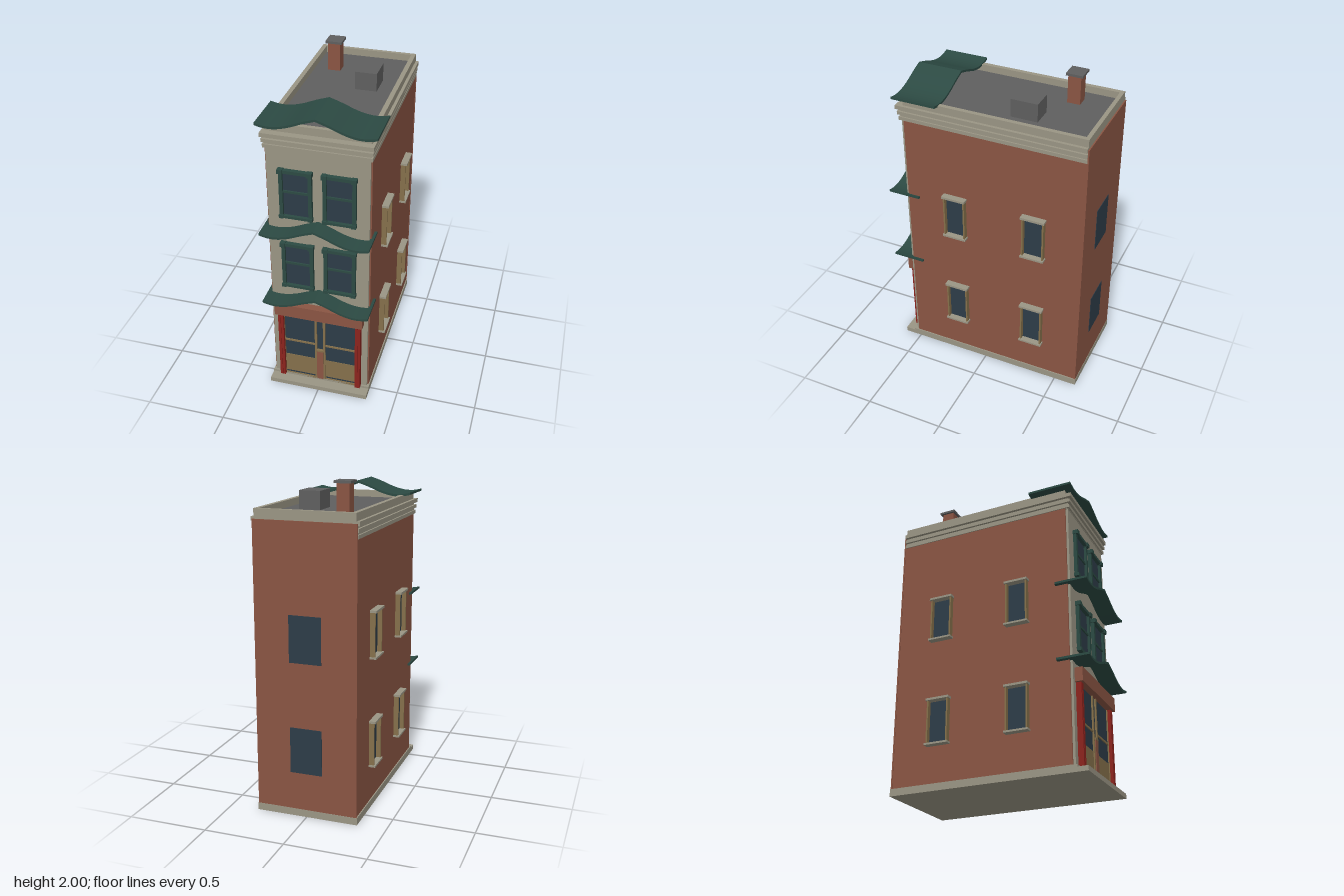
import * as THREE from 'three';

const mat = (name, color) => {
  const m = new THREE.MeshStandardMaterial({ color });
  m.name = name;
  return m;
};

export function createModel() {
  const brick = mat('brick', 0x8a5543);
  const stone = mat('stone', 0x9a9584);
  const grey = mat('roofGrey', 0x5f5f5f);
  const glass = mat('glass', 0x2d3c48);
  const green = mat('darkGreen', 0x2c4a43);
  const wood = mat('wood', 0x85704b);
  const red = mat('red', 0x8c231d);

  const model = new THREE.Group();
  model.name = 'townhouse';

  // Box given by its limits on each axis
  const box = (name, m, x0, x1, y0, y1, z0, z1, parent = model) => {
    const mesh = new THREE.Mesh(new THREE.BoxGeometry(x1 - x0, y1 - y0, z1 - z0), m);
    mesh.position.set((x0 + x1) / 2, (y0 + y1) / 2, (z0 + z1) / 2);
    mesh.name = name;
    parent.add(mesh);
    return mesh;
  };
  const group = (name) => {
    const g = new THREE.Group();
    g.name = name;
    model.add(g);
    return g;
  };

  // Base, walls and facade
  box('frontStep', stone, -0.32, 0.32, 0, 0.03, 0.53, 0.61);
  box('base', stone, -0.32, 0.32, 0, 0.045, -0.645, 0.545);
  box('walls', brick, -0.313, 0.313, 0.045, 1.715, -0.636, 0.517);
  box('backWall', brick, -0.316, 0.316, 0.045, 1.79, -0.643, -0.634);
  box('facade', stone, -0.305, 0.305, 0.045, 1.72, 0.51, 0.532);

  // Stepped cornice
  box('corniceCore', stone, -0.309, 0.309, 1.7, 1.8, -0.635, 0.535);
  [[1.705, 1.727, 0.318, 0.545], [1.742, 1.763, 0.322, 0.552], [1.778, 1.803, 0.327, 0.561]]
    .forEach(([y0, y1, x, z]) => box('corniceBand', stone, -x, x, y0, y1, -0.635, z));

  // Roof and parapet
  box('roof', grey, -0.285, 0.285, 1.795, 1.807, -0.615, 0.495);
  const parapet = group('parapet');
  for (const s of [-1, 1]) {
    const [a, b] = s < 0 ? [-0.308, -0.28] : [0.28, 0.308];
    box('parapetSide', stone, a, b, 1.8, 1.85, -0.635, 0.517, parapet);
  }
  box('parapetBack', stone, -0.28, 0.28, 1.8, 1.85, -0.635, -0.61, parapet);
  box('parapetFront', stone, -0.28, 0.28, 1.8, 1.85, 0.49, 0.517, parapet);

  // Chimney and roof hatch
  box('chimney', brick, -0.193, -0.115, 1.8, 1.985, -0.425, -0.345);
  box('chimneyCap', grey, -0.206, -0.102, 1.985, 2, -0.439, -0.334);
  box('roofHatch', grey, 0.042, 0.176, 1.8, 1.92, -0.28, -0.113);

  // Curved awnings: ridge in the middle, upturned ends
  const awning = (name, halfWidth, y, z0, z1) => {
    const k = halfWidth / 0.33;
    const half = new THREE.SplineCurve([
      [0, 0.081], [0.07, 0.056], [0.15, 0.022], [0.22, 0.004], [0.28, 0.003], [0.33, 0.014],
    ].map(([px, py]) => new THREE.Vector2(px * k, py))).getPoints(14);
    const top = [...half.slice(1).reverse().map((p) => new THREE.Vector2(-p.x, p.y)), ...half];
    const under = top.map((p) => new THREE.Vector2(p.x, p.y - 0.014)).reverse();
    const geo = new THREE.ExtrudeGeometry(new THREE.Shape([...top, ...under]), {
      depth: z1 - z0, bevelEnabled: false,
    });
    const mesh = new THREE.Mesh(geo, green);
    mesh.position.set(0, y, z0);
    mesh.name = name;
    model.add(mesh);
  };
  awning('lowerAwning', 0.33, 0.677, 0.44, 0.645);
  awning('upperAwning', 0.33, 1.174, 0.44, 0.645);
  awning('roofAwning', 0.35, 1.852, 0.285, 0.57);

  // Front sash windows
  for (const y of [0.76, 1.26]) {
    for (const c of [-0.13, 0.13]) {
      const g = group('frontWindow');
      box('pane', glass, c - 0.085, c + 0.085, y + 0.01, y + 0.31, 0.53, 0.537, g);
      for (const s of [-1, 1]) {
        const x = c + s * 0.087;
        box('stile', green, x - 0.011, x + 0.011, y + 0.01, y + 0.32, 0.53, 0.553, g);
        box('sillEnd', green, x - 0.014, x + 0.014, y, y + 0.022, 0.53, 0.562, g);
        box('headEnd', green, x - 0.016, x + 0.016, y + 0.298, y + 0.325, 0.53, 0.566, g);
      }
      box('sill', green, c - 0.095, c + 0.095, y + 0.002, y + 0.018, 0.53, 0.558, g);
      box('head', green, c - 0.095, c + 0.095, y + 0.302, y + 0.322, 0.53, 0.56, g);
      box('meetingRail', green, c - 0.08, c + 0.08, y + 0.168, y + 0.182, 0.53, 0.546, g);
    }
  }

  // Side windows with deep wooden surrounds and stone sills
  for (const s of [-1, 1]) {
    const side = (name, m, depth, y0, y1, z0, z1, g) =>
      box(name, m, s < 0 ? -depth : 0.3, s < 0 ? -0.3 : depth, y0, y1, z0, z1, g);
    for (const y of [0.275, 0.96]) {
      for (const z of [0.19, -0.33]) {
        const g = group('sideWindow');
        side('pane', glass, 0.317, y + 0.01, y + 0.28, z - 0.064, z + 0.064, g);
        for (const e of [-1, 1]) {
          const j = z + e * 0.066;
          side('jamb', wood, 0.345, y + 0.01, y + 0.285, j - 0.005, j + 0.005, g);
        }
        side('sill', stone, 0.355, y, y + 0.012, z - 0.077, z + 0.077, g);
        side('lintel', stone, 0.355, y + 0.282, y + 0.296, z - 0.077, z + 0.077, g);
      }
    }
  }

  // Back windows
  for (const y of [0.28, 0.965]) box('backWindow', glass, -0.1, 0.1, y, y + 0.285, -0.646, -0.64);

  // Shopfront
  const shop = group('shopfront');
  box('shopGlass', glass, -0.24, 0.24, 0.045, 0.56, 0.53, 0.537, shop);
  box('shopSign', brick, -0.28, 0.28, 0.545, 0.632, 0.53, 0.581, shop);
  for (const s of [-1, 1]) {
    const c = s * 0.133;
    box('doorPanel', wood, c - 0.105, c + 0.105, 0.062, 0.2, 0.53, 0.54, shop);
    box('doorRail', wood, c - 0.105, c + 0.105, 0.317, 0.329, 0.53, 0.544, shop);
    box('threshold', wood, c - 0.105, c + 0.105, 0.036, 0.048, 0.53, 0.545, shop);
    box('outerPost', wood, s * 0.236 - 0.005, s * 0.236 + 0.005, 0.045, 0.55, 0.53, 0.546, shop);
    box('mullion', wood, s * 0.027 - 0.007, s * 0.027 + 0.007, 0.045, 0.55, 0.53, 0.547, shop);
    for (const x of [0.24, 0.258]) {
      box('redColumn', red, s * x - 0.008, s * x + 0.008, 0.04, 0.55, 0.53, 0.566, shop);
    }
  }
  box('centrePier', brick, -0.021, 0.021, 0.045, 0.275, 0.53, 0.552, shop);
  box('pierCap', wood, -0.024, 0.024, 0.275, 0.287, 0.53, 0.554, shop);

  return model;
}
